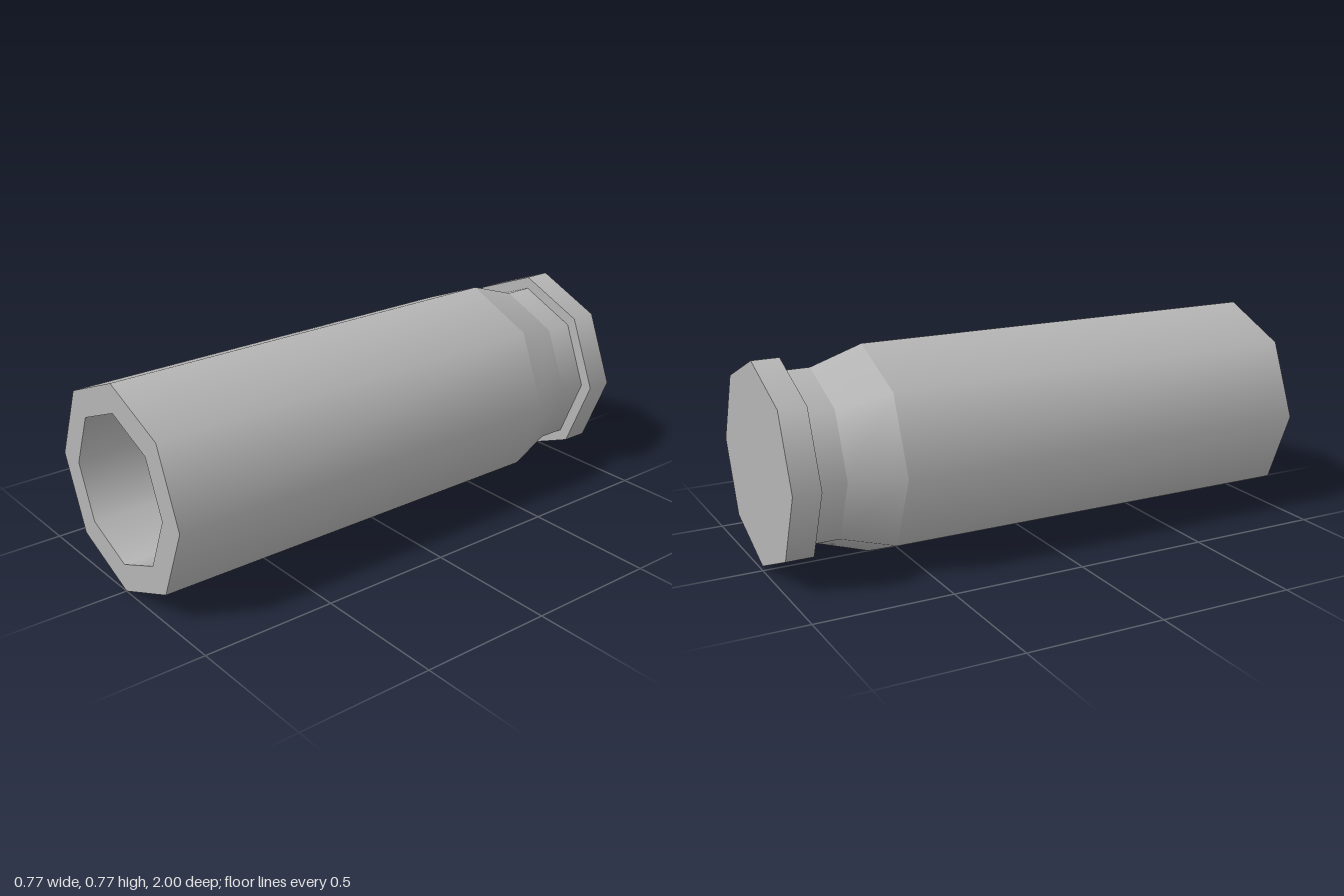
import * as THREE from 'three';

const SIDES = 8;
const metal = new THREE.MeshStandardMaterial({ color: 0xb4b4b4 });
metal.name = 'grey metal';

// Each span of [radius, z] points is its own band: smooth around, sharp along the axis.
function addPart(parent, name, profile) {
  const part = new THREE.Group();
  part.name = name;
  for (let i = 0; i < profile.length - 1; i++) {
    const points = [profile[i], profile[i + 1]].map(([r, z]) => new THREE.Vector2(r, z));
    const geometry = new THREE.LatheGeometry(points, SIDES);
    geometry.rotateX(Math.PI / 2); // lathe axis to +z
    const band = new THREE.Mesh(geometry, metal);
    band.name = `${name}Band${i + 1}`;
    part.add(band);
  }
  parent.add(part);
}

export function createModel() {
  const model = new THREE.Group();
  model.name = 'cartridgeCase';

  // Base plate and rim
  addPart(model, 'rim', [[0, -1], [0.368, -1], [0.368, -0.9], [0.322, -0.9]]);
  // Recessed groove in front of the rim
  addPart(model, 'groove', [[0.322, -0.9], [0.322, -0.795]]);
  // Taper out to the full width
  addPart(model, 'taper', [[0.322, -0.795], [0.385, -0.605]]);
  // Long straight wall and the flat mouth
  addPart(model, 'wall', [[0.385, -0.605], [0.385, 1], [0.28, 1]]);
  // Hollow inside with a closed floor
  addPart(model, 'bore', [[0.28, 1], [0.28, -0.79], [0, -0.79]]);

  model.position.y = 0.385;
  const root = new THREE.Group();
  root.name = 'model';
  root.add(model);
  return root;
}
